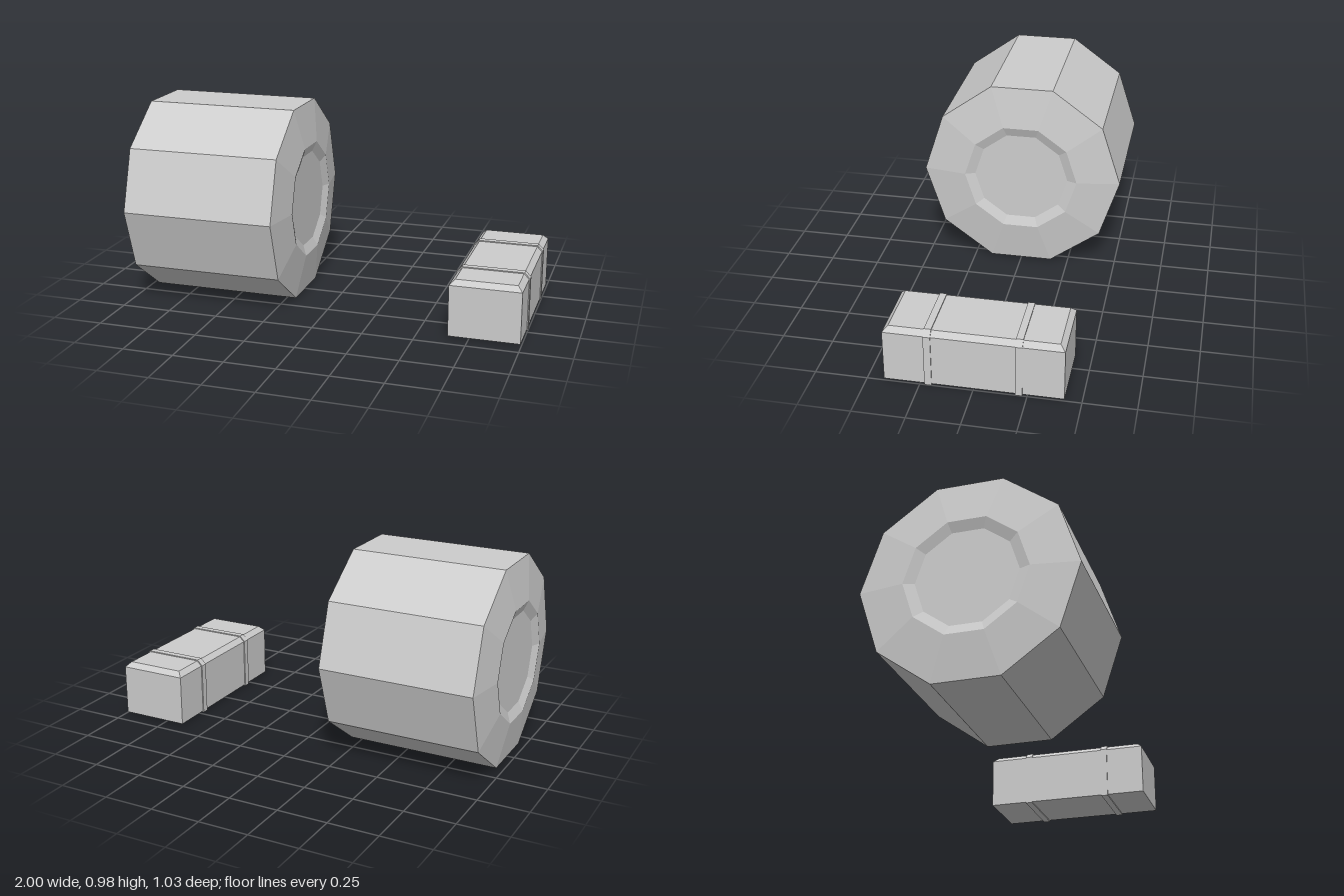
import * as THREE from 'three';

const grey = new THREE.MeshStandardMaterial({ color: 0xcccccc });
grey.name = 'plain grey';

// Give every face its own normal
function faceted(geometry) {
  const g = geometry.toNonIndexed();
  g.computeVertexNormals();
  return g;
}

function part(name, geometry) {
  const mesh = new THREE.Mesh(faceted(geometry), grey);
  mesh.name = name;
  return mesh;
}

// Box standing on y = bottom, sloping inwards above the shoulder
function chamferedBox(width, depth, bottom, shoulder, top, insetX, insetZ) {
  const g = new THREE.BoxGeometry(width, 2, depth, 1, 2, 1);
  const p = g.attributes.position;
  for (let i = 0; i < p.count; i++) {
    const row = Math.round(p.getY(i));
    p.setY(i, [bottom, shoulder, top][row + 1]);
    if (row === 1) {
      p.setX(i, p.getX(i) - Math.sign(p.getX(i)) * insetX);
      p.setZ(i, p.getZ(i) - Math.sign(p.getZ(i)) * insetZ);
    }
  }
  return g;
}

export function createModel() {
  const model = new THREE.Group();
  model.name = 'barrelAndCase';

  // Ten-sided drum with domed, dished ends
  const end = [[0, 0.397], [0.244, 0.397], [0.295, 0.417], [0.515, 0.383]];
  const profile = [
    ...end.map(([r, h]) => new THREE.Vector2(r, -h)),
    ...end.reverse().map(([r, h]) => new THREE.Vector2(r, h)),
  ];
  const drumGeometry = new THREE.LatheGeometry(profile, 10);
  drumGeometry.rotateZ(-Math.PI / 2);
  const drum = part('drum', drumGeometry);
  drum.position.set(-0.583, 0.495, 0);
  model.add(drum);

  // Long case with a bevelled lid and two straps
  const boxCase = new THREE.Group();
  boxCase.name = 'case';
  boxCase.position.x = 0.822;
  boxCase.add(part('caseBody', chamferedBox(0.346, 0.84, 0.006, 0.26, 0.285, 0.025, 0.025)));
  for (const side of [-1, 1]) {
    const strap = part('strap', chamferedBox(0.356, 0.034, 0, 0.262, 0.29, 0.027, 0));
    strap.position.z = side * 0.211;
    boxCase.add(strap);
  }
  model.add(boxCase);

  return model;
}
